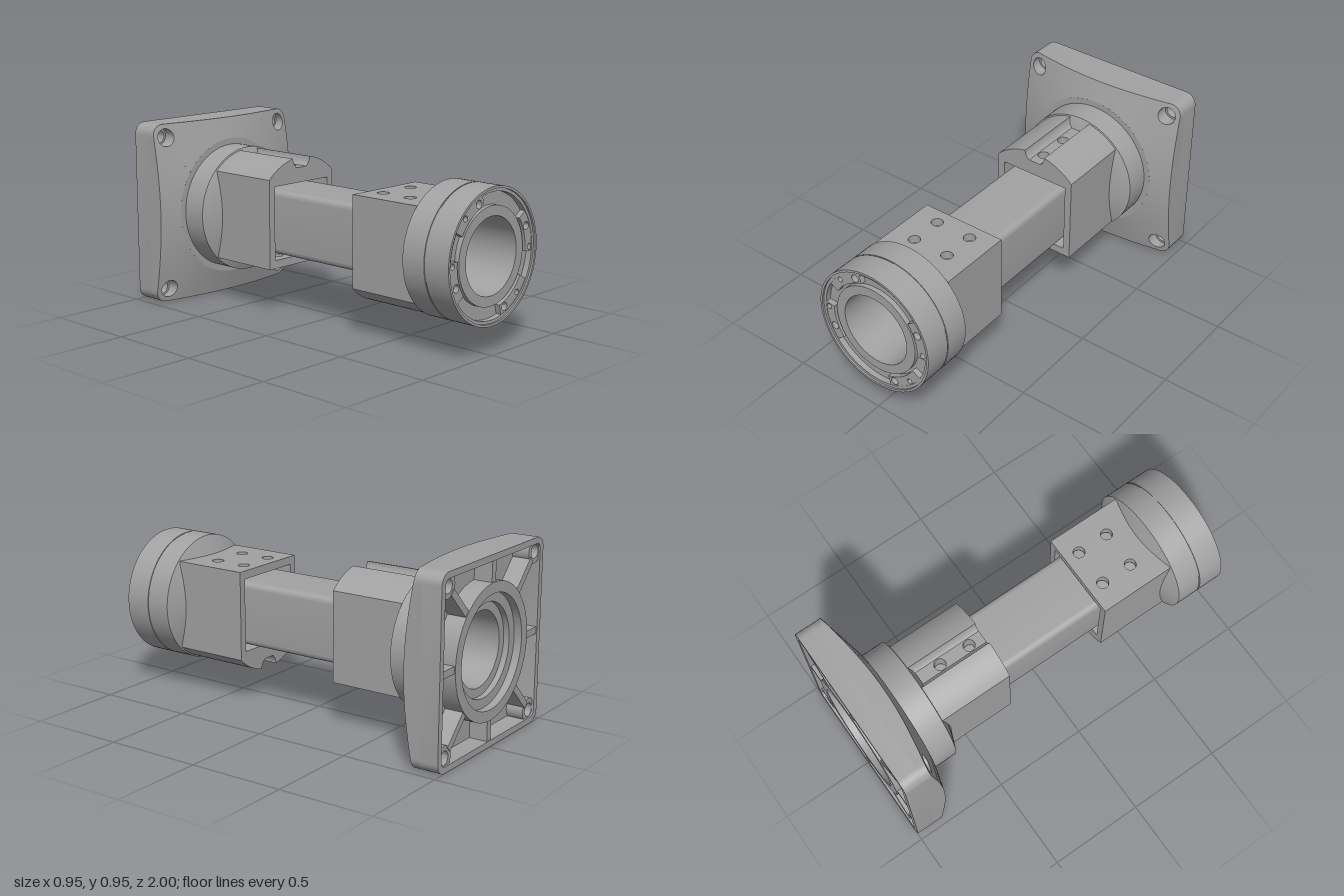
import * as THREE from 'three';
import { mergeGeometries, toCreasedNormals } from 'three/addons/utils/BufferGeometryUtils.js';

const metal = new THREE.MeshStandardMaterial({ color: 0xa2a2a2 });
metal.name = 'grey metal';

const rad = THREE.MathUtils.degToRad;
const V = (x, y) => new THREE.Vector2(x, y);
const polar = (r, a) => V(r * Math.cos(a), r * Math.sin(a));

function part(name, geo, crease = 0.6) {
  const m = new THREE.Mesh(toCreasedNormals(geo, crease), metal);
  m.name = name;
  return m;
}

function extrude(shape, depth, z = 0) {
  return new THREE.ExtrudeGeometry(shape, { depth, bevelEnabled: false, curveSegments: 24 }).translate(0, 0, z);
}

function circleHole(x, y, r) {
  return new THREE.Path().absarc(x, y, r, 0, Math.PI * 2, true);
}

// Turned solid about z, from a closed counter-clockwise (radius, z) profile
function turned(profile, segments = 96) {
  const pts = profile.map(([r, z]) => V(r, z));
  pts.push(pts[0].clone());
  return new THREE.LatheGeometry(pts, segments).rotateX(Math.PI / 2);
}

// Distance from the centre to a rounded square's edge at angle a
function squareEdge(a, half, corner) {
  const c = Math.abs(Math.cos(a)), s = Math.abs(Math.sin(a)), k = half - corner;
  const t = half / Math.max(c, s);
  if (t * Math.min(c, s) <= k) return t;
  const b = (c + s) * k;
  return b + Math.sqrt(b * b - 2 * k * k + corner * corner);
}

function roundedSquare(half, corner) {
  const k = half - corner, pts = [];
  for (let q = 0; q < 4; q++) {
    const base = q * Math.PI / 2, c = polar(k * Math.SQRT2, base + Math.PI / 4);
    for (let i = 0; i <= 8; i++) pts.push(polar(corner, base + i * Math.PI / 16).add(c));
  }
  return pts;
}

function frame(half, corner, innerHalf, innerCorner) {
  const s = new THREE.Shape(roundedSquare(half, corner));
  s.holes.push(new THREE.Path(roundedSquare(innerHalf, innerCorner)));
  return s;
}

// Flange skin: wedges whose front follows a shallow cone
function flangeSkin() {
  const slope = 0.28, front = -0.778, back = -0.9, wedges = [];
  const addWedge = (a0, a1, steps, hole) => {
    const outer = [], inner = [];
    for (let i = 0; i <= steps; i++) {
      const a = rad(a0 + (a1 - a0) * i / steps);
      outer.push(polar(squareEdge(a, 0.475, 0.06), a));
      inner.unshift(polar(0.364, a));
    }
    const s = new THREE.Shape([...outer, ...inner]);
    if (hole) s.holes.push(circleHole(hole.x, hole.y, 0.046));
    wedges.push(extrude(s, front - back, back));
  };
  for (let q = 0; q < 4; q++) {
    const b = q * 90, sx = q === 0 || q === 3 ? 1 : -1, sy = q < 2 ? 1 : -1;
    addWedge(b + 38, b + 52, 14, V(0.405 * sx, 0.405 * sy));
    for (let i = 0; i < 19; i++) addWedge(b + 52 + i * 4, b + 56 + i * 4, 1);
  }
  let geo = mergeGeometries(wedges);
  const p = geo.attributes.position;
  for (let i = 0; i < p.count; i++) {
    if (p.getZ(i) < front - 0.01) continue;
    p.setZ(i, front - slope * Math.max(0, Math.hypot(p.getX(i), p.getY(i)) - 0.365));
  }
  const mesh = part('flangePlate', geo);
  // True cone normals on the front skin
  const pos = mesh.geometry.attributes.position, n = mesh.geometry.attributes.normal;
  const v = new THREE.Vector3();
  for (let i = 0; i < n.count; i++) {
    if (n.getZ(i) < 0.7) continue;
    const a = Math.atan2(pos.getY(i), pos.getX(i));
    v.set(slope * Math.cos(a), slope * Math.sin(a), 1).normalize();
    n.setXYZ(i, v.x, v.y, v.z);
  }
  return mesh;
}

// Clamp block: free end at z = 0, runs to -z, rounded grooved side up
function clampBlock(name) {
  const L = 0.4, g = new THREE.Group();
  g.name = name;
  const half = [V(0.23, -0.192)];
  for (let i = 0; i <= 12; i++) half.push(polar(0.325, rad(45 + 34.36 * i / 12)));
  for (let i = 1; i <= 8; i++) {
    const t = rad(55.5 * i / 8);
    half.push(V(0.06 * Math.cos(t), 0.3194 - 0.06 * Math.sin(t)));
  }
  half.push(V(0.034, 0.192), V(0.192, 0.192), V(0.192, -0.192));
  for (const s of [1, -1]) {
    g.add(part('blockSide', extrude(new THREE.Shape(half.map(p => V(p.x * s, p.y))), L, -L), 0.4));
  }
  // Drilled walls: groove floor and flat face
  const drilled = (w, y0, y1, xs) => {
    const s = new THREE.Shape([V(-w, 0), V(w, 0), V(w, L), V(-w, L)]);
    for (const x of xs) for (const z of [0.08, 0.25]) s.holes.push(circleHole(x, z, 0.03));
    return extrude(s, y1 - y0).rotateX(-Math.PI / 2).translate(0, y0, 0);
  };
  g.add(part('grooveFloor', drilled(0.034, 0.192, 0.27, [0])));
  g.add(part('flatFace', drilled(0.23, -0.235, -0.192, [-0.1, 0.1])));
  return g;
}

export function createModel() {
  const model = new THREE.Group();
  model.name = 'flangedCoupling';
  const body = new THREE.Group();
  body.name = 'body';
  body.position.y = 0.475;
  model.add(body);

  // Round collars
  body.add(part('frontCollar', turned([
    [0.19, 0.69], [0.23, 0.69], [0.332, 0.73], [0.332, 0.857], [0.328, 0.857], [0.328, 0.863],
    [0.332, 0.863], [0.332, 1], [0.32, 1], [0.32, 0.99], [0.305, 0.99], [0.305, 0.96],
    [0.24, 0.96], [0.24, 0.985], [0.19, 0.985]]), 0.35));
  body.add(part('rearCollar', turned([
    [0.19, -0.6], [0.19, -0.93], [0.235, -0.93], [0.235, -0.96], [0.285, -0.96], [0.285, -1],
    [0.34, -1], [0.34, -0.9], [0.365, -0.9], [0.365, -0.778], [0.332, -0.778],
    [0.332, -0.645], [0.23, -0.603]]), 0.35));

  // Drilled lands in the front recess
  for (const turn of [0, 180]) {
    for (const [a0, a1, holes] of [
      [105, 150, [[0.28, 112, 0.02], [0.288, 134, 0.014]]],
      [-4, 36, [[0.288, 0, 0.014], [0.28, 22, 0.02]]]]) {
      const s = new THREE.Shape();
      s.absarc(0, 0, 0.306, rad(a0 + turn), rad(a1 + turn), false);
      s.absarc(0, 0, 0.255, rad(a1 + turn), rad(a0 + turn), true);
      for (const [r, a, size] of holes) {
        const c = polar(r, rad(a + turn));
        s.holes.push(circleHole(c.x, c.y, size));
      }
      body.add(part('recessLand', extrude(s, 0.028, 0.96)));
    }
  }

  // Clamp blocks, the front one turned over
  const rear = clampBlock('rearBlock');
  rear.position.z = -0.248;
  const front = clampBlock('frontBlock');
  front.rotation.x = Math.PI;
  front.position.z = 0.325;
  body.add(rear, front);

  // Square tube with inner guide beads
  body.add(part('squareTube', extrude(frame(0.167, 0.03, 0.15, 0.008), 1.29, -0.6)));
  for (let i = 0; i < 4; i++) {
    const c = polar(0.14, i * Math.PI / 2);
    const bead = new THREE.CylinderGeometry(0.015, 0.015, 1.288, 16).rotateX(Math.PI / 2);
    body.add(part('guideBead', bead.translate(c.x, c.y, 0.045)));
  }

  // Flange with rim, ribs and corner bosses
  body.add(flangeSkin());
  body.add(part('flangeRim', extrude(frame(0.475, 0.06, 0.443, 0.03), 0.1, -1)));
  for (let i = 0; i < 8; i++) {
    const r1 = i % 2 ? 0.525 : 0.45, len = r1 - 0.335;
    const rib = new THREE.BoxGeometry(len, 0.036, 0.1).translate(0.335 + len / 2, 0, -0.945);
    body.add(part('rib', rib.rotateZ(i * Math.PI / 4)));
  }
  for (const x of [-0.405, 0.405]) for (const y of [-0.405, 0.405]) {
    const boss = turned([[0.035, -0.895], [0.035, -0.99], [0.06, -0.99], [0.06, -0.895]], 32);
    body.add(part('cornerBoss', boss.translate(x, y, 0)));
  }
  return model;
}
